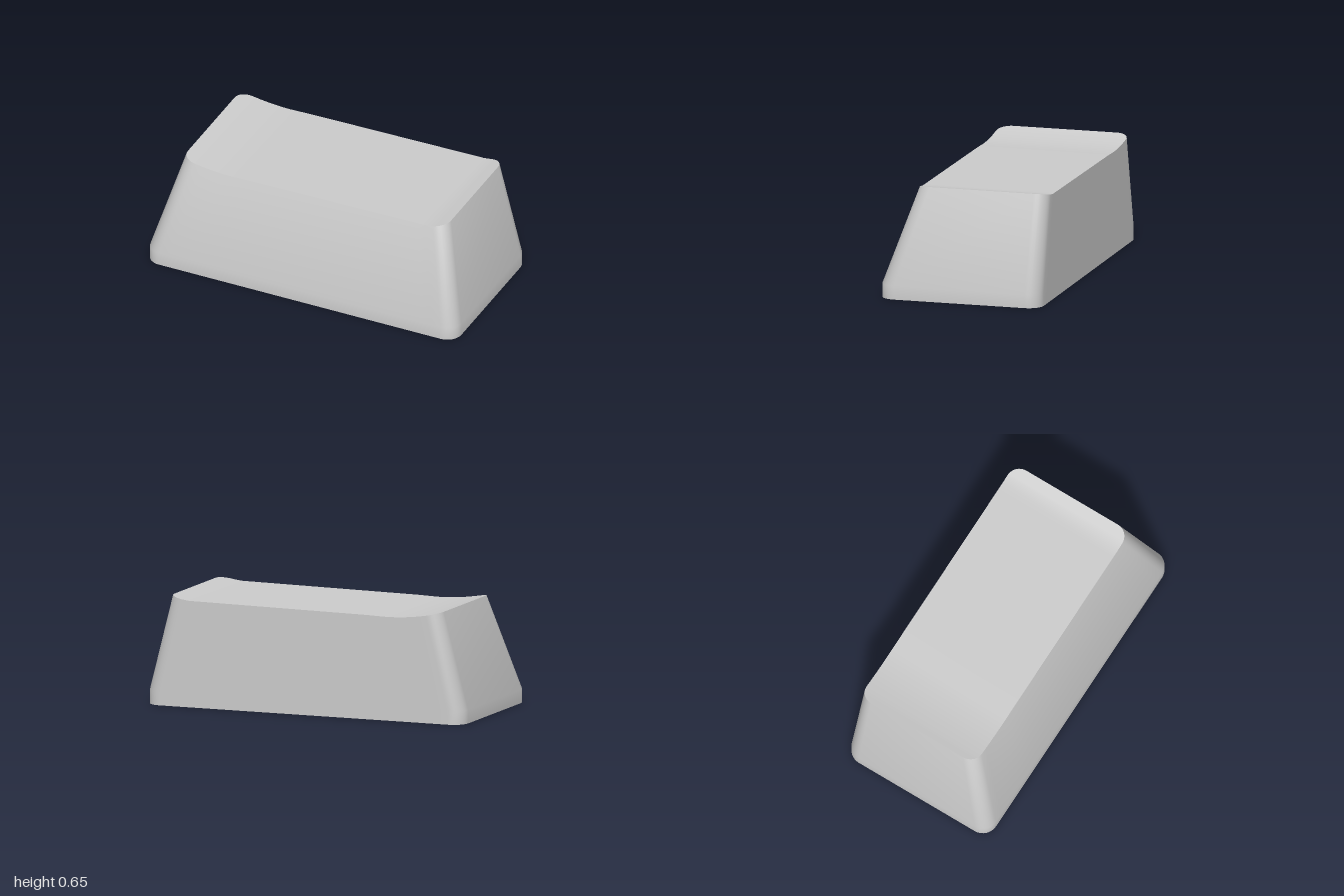
import * as THREE from 'three';
import { toCreasedNormals } from 'three/addons/utils/BufferGeometryUtils.js';

const ARC = 8, STRAIGHT = 32;

// Height of the dished top across x
const DISH = [[-0.85, 0.65], [-0.8, 0.639], [-0.74, 0.628], [-0.67, 0.619], [-0.6, 0.613],
  [-0.52, 0.611], [-0.4, 0.615], [0.74, 0.628], [0.85, 0.65]];
function dishHeight(x) {
  let i = 0;
  while (i < DISH.length - 2 && x > DISH[i + 1][0]) i++;
  const [x0, y0] = DISH[i], [x1, y1] = DISH[i + 1];
  return y0 + (y1 - y0) * (x - x0) / (x1 - x0);
}

// Rounded-rectangle ring: front edge left to right, then back edge right to left
function ring(halfW, back, front, r, height) {
  const edge = [];
  for (let i = 0; i <= ARC; i++) {
    const a = (i / ARC) * Math.PI / 2;
    edge.push([-halfW + r - r * Math.cos(a), r - r * Math.sin(a)]);
  }
  for (let i = 1; i < STRAIGHT; i++) edge.push([(halfW - r) * (2 * i / STRAIGHT - 1), 0]);
  for (let i = ARC; i >= 0; i--) edge.push([-edge[i][0], edge[i][1]]);
  const point = (x, z) => [x, height(x), z];
  return [
    ...edge.map(([x, inset]) => point(x, front - inset)),
    ...edge.slice().reverse().map(([x, inset]) => point(x, back + inset)),
  ];
}

// Joins rings into a closed skin, with a cap on the first and last ring
function loft(rings) {
  const n = rings[0].length, index = [];
  const quad = (a, b, c, d) => index.push(a, b, c, a, c, d);
  for (let k = 0; k < rings.length - 1; k++) {
    for (let i = 0; i < n; i++) {
      const j = (i + 1) % n;
      quad(k * n + i, k * n + j, (k + 1) * n + j, (k + 1) * n + i);
    }
  }
  const last = (rings.length - 1) * n;
  for (let i = 0; i < n / 2 - 1; i++) {
    quad(last + i, last + i + 1, last + n - 2 - i, last + n - 1 - i);
    quad(n - 1 - i, n - 2 - i, i + 1, i);
  }
  const geo = new THREE.BufferGeometry();
  geo.setAttribute('position', new THREE.Float32BufferAttribute(rings.flat(2), 3));
  geo.setIndex(index);
  return toCreasedNormals(geo, 0.55);
}

export function createModel() {
  const group = new THREE.Group();
  group.name = 'keycap';
  const material = new THREE.MeshStandardMaterial({ color: 0xcccccc });

  // Hollow shell: inner ceiling, down the inside, round the rim, up the outside, dished top
  const shell = new THREE.Mesh(loft([
    ring(0.82, -0.43, 0.25, 0.015, () => 0.56),
    ring(0.94, -0.43, 0.43, 0.02, () => 0),
    ring(1, -0.488, 0.488, 0.09, () => 0),
    ring(1, -0.488, 0.488, 0.09, () => 0.08),
    ring(0.85, -0.488, 0.302, 0.08, dishHeight),
  ]), material);
  shell.name = 'shell';
  group.add(shell);

  // Round stem with a cross-shaped socket
  const outline = new THREE.Shape().absarc(0, 0, 0.163, 0, Math.PI * 2);
  const l = 0.125, w = 0.043;
  outline.holes.push(new THREE.Path([
    [l, w], [w, w], [w, l], [-w, l], [-w, w], [-l, w],
    [-l, -w], [-w, -w], [-w, -l], [w, -l], [w, -w], [l, -w],
  ].map(([x, y]) => new THREE.Vector2(x, y))));
  const stemGeo = new THREE.ExtrudeGeometry(outline, { depth: 0.48, bevelEnabled: false, curveSegments: 32 });
  stemGeo.rotateX(-Math.PI / 2);
  const stem = new THREE.Mesh(toCreasedNormals(stemGeo, 0.55), material);
  stem.name = 'stem';
  stem.position.y = 0.09;
  group.add(stem);

  return group;
}
